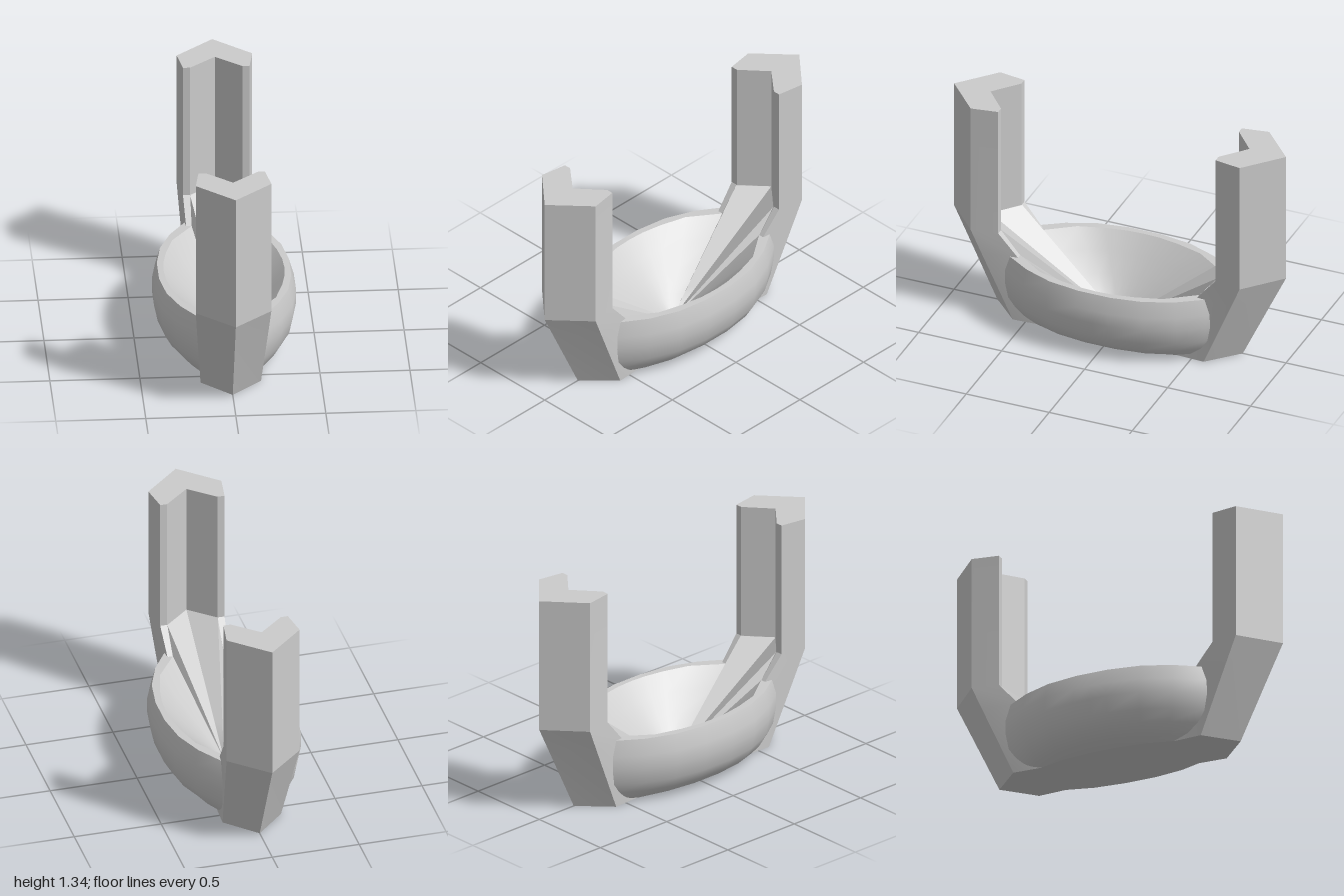
import * as THREE from 'three';
import { toCreasedNormals } from 'three/addons/utils/BufferGeometryUtils.js';

const grey = new THREE.MeshStandardMaterial({ color: 0xcccccc });

const RIM = 0.412; // height of the hull rim
const BEND = 0.548; // height where the posts turn upright

// Quarter outlines of the pointed-oval plan: [x as a share of half width, z]
const OUTER = [[1, 0], [1, 0.1], [0.92, 0.29], [0.74, 0.46], [0.5, 0.6], [0, 0.82]];
const INNER = [[1, 0], [0.985, 0.1], [0.92, 0.22], [0.79, 0.37], [0.43, 0.54], [0, 0.71]];

// Mirrors a quarter path of [x, y, z] points, from the side to the tip, into a closed ring
function mirrorRing(quarter) {
  const half = [...quarter, ...quarter.slice(0, -1).reverse().map(([x, y, z]) => [-x, y, z])];
  return [...half, ...half.slice(1, -1).reverse().map(([x, y, z]) => [x, y, -z])];
}

function planRing(plan, [w, y, s]) {
  return mirrorRing(plan.map(([x, z]) => [x * w, y, z * s]));
}

// Skins a series of closed rings; flip reverses the facing
function skin(rings, flip, caps = []) {
  const pos = [];
  const tri = (a, b, c) => pos.push(...a, ...(flip ? c : b), ...(flip ? b : c));
  for (let j = 0; j < rings.length - 1; j++) {
    const n = rings[j].length;
    for (let i = 0; i < n; i++) {
      const k = (i + 1) % n;
      const a = rings[j][i], b = rings[j][k], c = rings[j + 1][i], d = rings[j + 1][k];
      tri(a, b, c);
      tri(b, d, c);
    }
  }
  const first = rings[0], last = rings[rings.length - 1];
  for (const [a, b, c] of caps) {
    tri(last[a], last[b], last[c]);
    tri(first[a], first[c], first[b]);
  }
  const geo = new THREE.BufferGeometry();
  geo.setAttribute('position', new THREE.Float32BufferAttribute(pos, 3));
  geo.computeVertexNormals();
  return geo;
}

// Hull: flat bottom, bulging side and flat rim
function hullGeometry() {
  const outside = [
    [0, 0, 0], [0.22, 0, 0.87], [0.28, 0.03, 0.9], [0.335, 0.08, 0.93],
    [0.373, 0.145, 0.98], [0.394, 0.24, 1], [0.394, 0.32, 1], [0.367, RIM, 0.97],
  ].map((r) => planRing(OUTER, r));
  const rim = planRing(INNER, [0.335, RIM, 1]);
  return toCreasedNormals(skin([...outside, rim], true), 0.46);
}

// Hollow: slopes from the rim and the post notches down to the middle of the floor
function hollowGeometry() {
  const edge = [
    ...INNER.slice(0, -1).map(([x, z]) => [x * 0.335, RIM, z]),
    [0.145, BEND, 0.65], [0, BEND, 0.78],
  ];
  const floor = 0.04;
  const rings = [1, 0.75, 0.5, 0.25, 0].map((t) =>
    mirrorRing(edge.map(([x, y, z]) => [x * t, floor + (y - floor) * t, z * t])));
  return toCreasedNormals(skin(rings, true), 0.6);
}

// End post: arrow-shaped section with a V notch, leaning inward below the bend
function postGeometry() {
  // y, then [x, z] of the apex, outer corner, lip outside, lip inside and notch
  const upright = [[0, 1], [0.21, 0.81], [0.185, 0.655], [0.145, 0.655], [0, 0.78]];
  const sections = [
    [0, [0, 0.74], [0.168, 0.575], [0.16, 0.4], [0.14, 0.4], [0, 0.56]],
    [RIM, [0, 0.935], [0.2, 0.752], [0.175, 0.54], [0.145, 0.54], [0, 0.71]],
    [BEND, ...upright],
    [1.336, ...upright],
  ];
  const rings = sections.map(([y, ...p]) => [
    ...p.map(([x, z]) => [x, y, z]),
    ...p.slice(1, -1).reverse().map(([x, z]) => [-x, y, z]),
  ]);
  const caps = [[0, 1, 4], [1, 2, 3], [1, 3, 4], [0, 4, 7], [4, 5, 7], [5, 6, 7]];
  return toCreasedNormals(skin(rings, false, caps), 0.15);
}

export function createModel() {
  const model = new THREE.Group();
  model.name = 'boat';
  const add = (name, geometry) => {
    const mesh = new THREE.Mesh(geometry, grey);
    mesh.name = name;
    model.add(mesh);
    return mesh;
  };

  add('hull', hullGeometry());
  add('hollow', hollowGeometry());

  // Matching posts at both ends
  const post = postGeometry();
  add('frontPost', post);
  add('backPost', post).rotation.y = Math.PI;

  return model;
}
